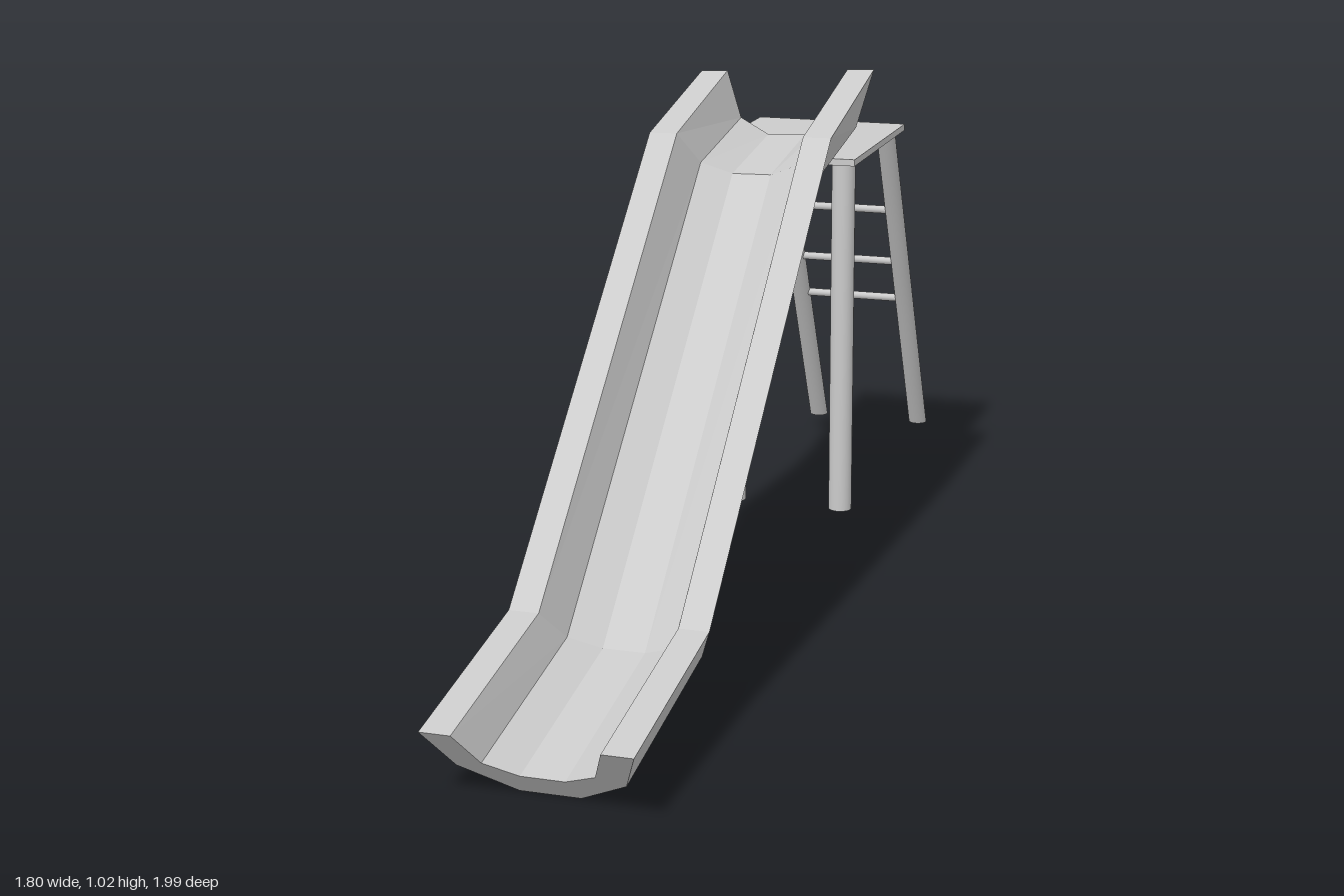
import * as THREE from 'three';

export function createModel() {
  const model = new THREE.Group();
  model.name = 'playgroundSlide';
  // Local frame: +z runs down the slide, x runs across it
  const body = new THREE.Group();
  body.name = 'slideBody';
  body.rotation.y = -0.721;
  model.add(body);

  const smooth = new THREE.MeshStandardMaterial({ color: 0xcccccc });
  const flat = new THREE.MeshStandardMaterial({ color: 0xcccccc, flatShading: true });
  const add = (name, geometry, material = smooth) => {
    const mesh = new THREE.Mesh(geometry, material);
    mesh.name = name;
    body.add(mesh);
    return mesh;
  };

  // Chute: half of the trough profile as [across, depth fraction], outer then inner
  const outer = [[-0.187, 0], [-0.15, 0.61], [-0.055, 1]];
  const inner = [[-0.04, 0.68], [-0.1, 0.5], [-0.13, 0]];
  const mirror = (pts) => pts.map(([x, t]) => [-x, t]).reverse();
  const profile = [...outer, ...mirror(outer), ...mirror(inner), ...inner];

  // Stations: rim z, rim y, bottom offset in z, depth, sideways roll
  const stations = [
    [-0.405, 1.01, 0.0, 0.2, 0.05],
    [-0.057, 0.93, -0.125, 0.137, 0.02],
    [0.748, 0.202, -0.122, 0.128, 0],
    [1.155, 0.135, -0.112, 0.135, 0],
  ];
  const rings = stations.map(([z, y, dz, depth, roll]) =>
    profile.map(([x, t]) => [x, y - t * depth + roll * x, z + t * dz]));

  const pos = [];
  const quad = (a, b, c, d) => pos.push(...a, ...b, ...c, ...a, ...c, ...d);
  const n = profile.length;
  for (let s = 0; s < rings.length - 1; s++) {
    const a = rings[s], b = rings[s + 1];
    for (let i = 0; i < n; i++) {
      const j = (i + 1) % n;
      quad(a[i], a[j], b[j], b[i]);
    }
  }
  // End caps join the outer and inner halves of the profile
  const top = rings[0], low = rings[rings.length - 1];
  for (let k = 0; k < n / 2 - 1; k++) {
    quad(low[k], low[k + 1], low[n - 2 - k], low[n - 1 - k]);
    quad(top[n - 1 - k], top[n - 2 - k], top[k + 1], top[k]);
  }
  const chute = new THREE.BufferGeometry();
  chute.setAttribute('position', new THREE.Float32BufferAttribute(pos, 3));
  chute.computeVertexNormals();
  add('chute', chute, flat);

  // Platform
  add('platform', new THREE.BoxGeometry(0.337, 0.014, 0.46))
    .position.set(-0.012, 0.827, -0.6);

  // Two upright legs under the platform
  for (const x of [-0.122, 0.118]) {
    add('leg', new THREE.CylinderGeometry(0.025, 0.025, 0.77, 20))
      .position.set(x, 0.435, -0.432);
  }

  // Ladder rails: upright cylinders sheared so both ends stay level
  const topY = 0.822, bottomY = 0.038, topZ = -0.795, bottomZ = -1.183;
  const height = topY - bottomY;
  const lean = (topZ - bottomZ) / height;
  const shear = new THREE.Matrix4().set(
    1, 0, 0, 0,
    0, 1, 0, 0,
    0, lean, 1, 0,
    0, 0, 0, 1);
  for (const x of [-0.129, 0.121]) {
    const rail = new THREE.CylinderGeometry(0.021, 0.021, height, 20).applyMatrix4(shear);
    add('ladderRail', rail)
      .position.set(x, (topY + bottomY) / 2, (topZ + bottomZ) / 2);
  }

  // Ladder rungs
  for (const y of [0.622, 0.487, 0.388]) {
    const rung = add('ladderRung', new THREE.CylinderGeometry(0.009, 0.009, 0.25, 12));
    rung.rotation.z = Math.PI / 2;
    rung.position.set(-0.004, y, topZ - (topY - y) * lean);
  }

  return model;
}
